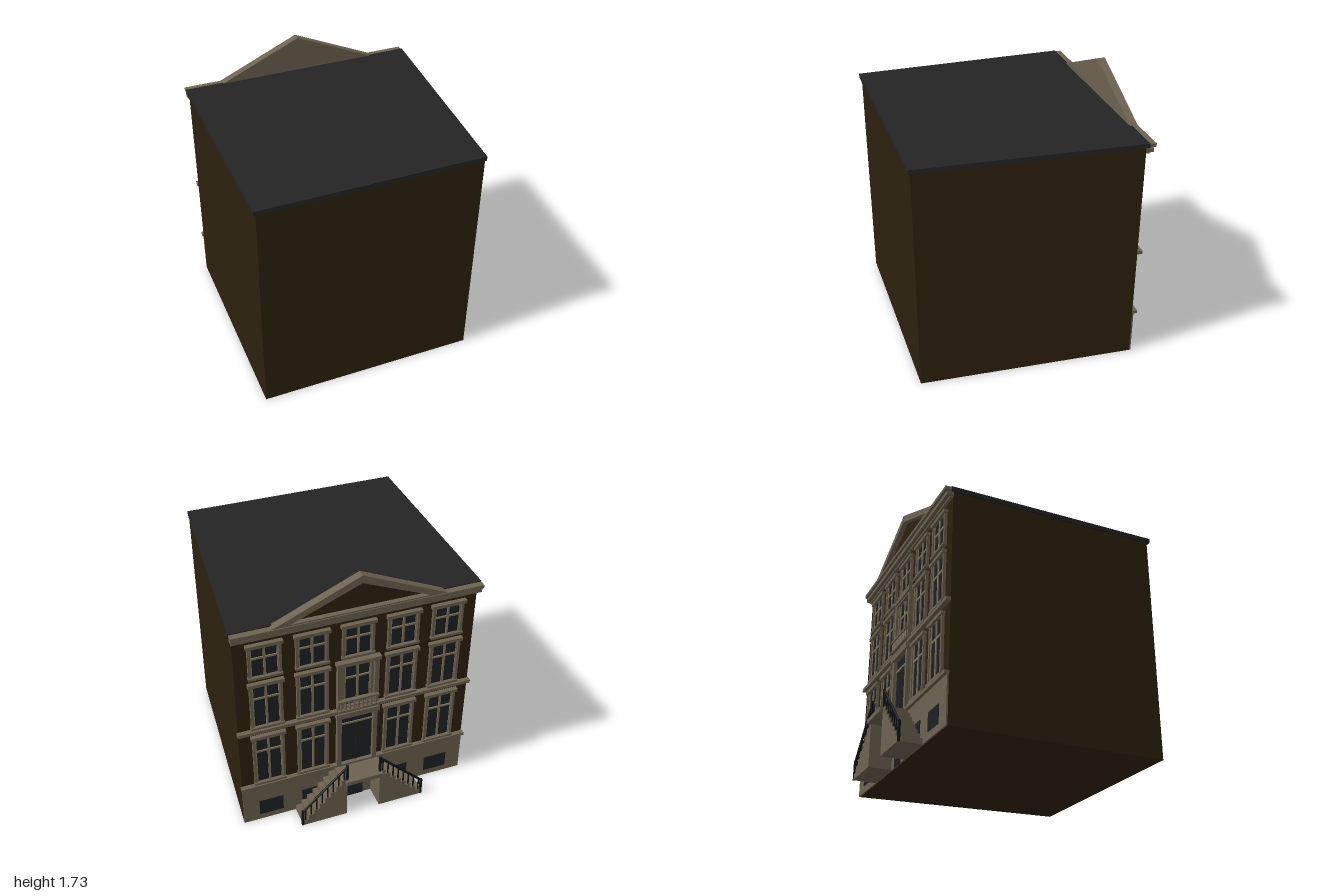
import * as THREE from 'three';

const mat = (name, color) => {
  const m = new THREE.MeshStandardMaterial({ color });
  m.name = name;
  return m;
};

export function createModel() {
  const brick = mat('darkBrick', 0x2d210e);
  const stone = mat('stone', 0x6c6250);
  const frame = mat('windowFrame', 0x82775f);
  const slate = mat('roofSlate', 0x242424);
  const glass = mat('darkGlass', 0x1e2023);
  const iron = mat('ironRailing', 0x141516);

  const model = new THREE.Group();
  model.name = 'townHouse';
  // Local frame: facade in the plane z = 0, facing +z; turned and placed at the end
  const house = new THREE.Group();
  house.name = 'house';
  model.add(house);

  const add = (name, geo, material, parent = house) => {
    const m = new THREE.Mesh(geo, material);
    m.name = name;
    parent.add(m);
    return m;
  };
  // Box given by its extents
  const box = (name, material, x0, x1, y0, y1, z0, z1, parent) => {
    const g = new THREE.BoxGeometry(x1 - x0, y1 - y0, z1 - z0);
    g.translate((x0 + x1) / 2, (y0 + y1) / 2, (z0 + z1) / 2);
    return add(name, g, material, parent);
  };
  const shapeOf = (pts) => new THREE.Shape(pts.map(([x, y]) => new THREE.Vector2(x, y)));
  const extrude = (shape, depth) => new THREE.ExtrudeGeometry(shape, { depth, bevelEnabled: false });
  // Upright prism over a plan of (x, distance behind the facade)
  const prism = (name, material, plan, y0, y1) => {
    const g = extrude(shapeOf(plan), y1 - y0);
    g.rotateX(-Math.PI / 2);
    g.translate(0, y0, 0);
    return add(name, g, material);
  };

  // Body and flat roof, narrowing slightly towards the back on one side
  prism('walls', brick, [[-0.748, 0], [0.748, 0], [0.748, 1.36], [-0.652, 1.36]], 0, 1.475);
  prism('roof', slate, [[-0.766, -0.014], [0.762, -0.014], [0.764, 1.373], [-0.656, 1.373]], 1.472, 1.5);

  // Plinth, belt courses and cornice
  box('plinth', stone, -0.748, 0.748, 0, 0.297, 0, 0.01);
  box('lowerBelt', stone, -0.755, 0.755, 0.295, 0.315, 0, 0.03);
  box('upperBelt', stone, -0.755, 0.755, 0.743, 0.765, 0, 0.03);
  box('frieze', stone, -0.75, 0.75, 1.43, 1.475, 0, 0.02);
  box('lowerCornice', stone, -0.758, 0.758, 1.44, 1.465, 0, 0.043);
  box('upperCornice', stone, -0.762, 0.762, 1.473, 1.494, 0, 0.055);

  // Pediment: raking cornice around a recessed brick field
  const rake = shapeOf([[-0.53, 1.494], [0.53, 1.494], [0, 1.73]]);
  rake.holes.push(new THREE.Path([[-0.42, 1.503], [0, 1.68], [0.42, 1.503]].map(([x, y]) => new THREE.Vector2(x, y))));
  add('pedimentCornice', extrude(rake, 0.05), stone);
  add('pedimentBack', extrude(shapeOf([[-0.47, 1.5], [0.47, 1.5], [0, 1.705]]), 0.012), stone);
  const field = add('pedimentField', extrude(shapeOf([[-0.43, 1.5], [0.43, 1.5], [0, 1.688]]), 0.006), brick);
  field.position.z = 0.012;

  // Window with trim, cross bars, lintel and sill
  const windowAt = (cx, y0, y1, w, transom) => {
    const g = new THREE.Group();
    g.name = 'window';
    house.add(g);
    const h = w / 2;
    box('glass', glass, cx - h, cx + h, y0, y1, 0, 0.005, g);
    for (const s of [-1, 1]) {
      box('sideTrim', stone, cx + s * h - 0.008, cx + s * h + 0.008, y0, y1, 0, 0.018, g);
      box('sideFrame', frame, cx + s * (h - 0.012) - 0.005, cx + s * (h - 0.012) + 0.005, y0, y1, 0, 0.01, g);
    }
    box('mullion', frame, cx - 0.007, cx + 0.007, y0, y1, 0, 0.012, g);
    const t = y0 + (y1 - y0) * transom;
    box('transom', frame, cx - h, cx + h, t - 0.006, t + 0.006, 0, 0.012, g);
    box('lintel', stone, cx - h - 0.018, cx + h + 0.018, y1, y1 + 0.022, 0, 0.028, g);
    box('sill', stone, cx - h - 0.012, cx + h + 0.012, y0 - 0.016, y0, 0, 0.026, g);
  };
  for (let i = -2; i <= 2; i++) {
    const cx = i * 0.283;
    windowAt(cx, 1.165, 1.37, 0.184, 0.62);
    windowAt(cx, 0.79, 1.095, 0.184, 0.68);
    if (i !== 0) {
      windowAt(cx, 0.335, 0.69, 0.184, 0.7);
      box('basementWindow', glass, cx - 0.078, cx + 0.078, 0.045, 0.16, 0.01, 0.014);
    }
  }

  // Stone surround of the middle bay
  for (const s of [-1, 1]) {
    box('doorPilaster', stone, s * 0.118 - 0.014, s * 0.118 + 0.014, 0.315, 0.71, 0, 0.03);
    box('balconyPilaster', stone, s * 0.118 - 0.014, s * 0.118 + 0.014, 0.765, 1.115, 0, 0.03);
  }
  box('doorLintel', stone, -0.14, 0.14, 0.705, 0.743, 0, 0.04);
  box('balconyLintel', stone, -0.14, 0.14, 1.105, 1.13, 0, 0.04);

  // Main door with two leaves, and the basement door
  box('doorPanel', glass, -0.104, 0.104, 0.3, 0.705, 0, 0.006);
  box('doorTransom', frame, -0.104, 0.104, 0.63, 0.642, 0, 0.012);
  box('doorGap', brick, -0.004, 0.004, 0.31, 0.63, 0, 0.01);
  box('basementDoor', glass, -0.052, 0.052, 0, 0.18, 0.01, 0.015);

  // Balustrade under the middle window
  box('balustradeRail', stone, -0.13, 0.13, 0.836, 0.85, 0.022, 0.048);
  box('balustradeBase', stone, -0.13, 0.13, 0.765, 0.778, 0, 0.048);
  for (let i = 0; i < 9; i++) {
    const b = add('baluster', new THREE.CylinderGeometry(0.007, 0.009, 0.06, 8), stone);
    b.position.set(-0.112 + i * 0.028, 0.807, 0.035);
  }

  // Landing and mirrored stair flights with iron railings
  box('landing', stone, -0.122, 0.122, 0.27, 0.3, 0, 0.178);
  const steps = 8, top = 0.3, x0 = 0.11, run = 0.295 / steps;
  const railGeo = (a, b, r) => new THREE.TubeGeometry(new THREE.LineCurve3(a, b), 1, r, 6, false);
  for (const s of [-1, 1]) {
    const pts = [[s * x0, 0], [s * x0, top]];
    for (let i = 0; i < steps; i++) {
      const y = top * (1 - i / steps);
      const x = s * (x0 + (i + 1) * run);
      pts.push([x, y], [x, top * (1 - (i + 1) / steps)]);
    }
    pts.pop();
    pts.push([s * (x0 + steps * run), 0]);
    const flight = add('stairFlight', extrude(shapeOf(pts), 0.15), stone);
    flight.position.z = 0.005;
    for (let i = 0; i < steps; i++) {
      const x = s * (x0 + (i + 0.5) * run);
      const y = top * (1 - i / steps);
      box('railingPost', iron, x - 0.004, x + 0.004, y - 0.01, y + 0.095, 0.145, 0.153);
    }
    const a = new THREE.Vector3(s * x0, top + 0.11, 0.15);
    const b = new THREE.Vector3(s * (x0 + steps * run), 0.115, 0.15);
    add('handrail', railGeo(a, b, 0.008), iron);
    box('endPost', iron, b.x - 0.007, b.x + 0.007, 0, 0.125, 0.143, 0.157);
    box('landingPost', iron, a.x - 0.007, a.x + 0.007, top, top + 0.12, 0.143, 0.157);
  }

  house.rotation.y = Math.atan2(-0.504, -0.864);
  house.position.set(-0.287, 0, -0.57);
  return model;
}
